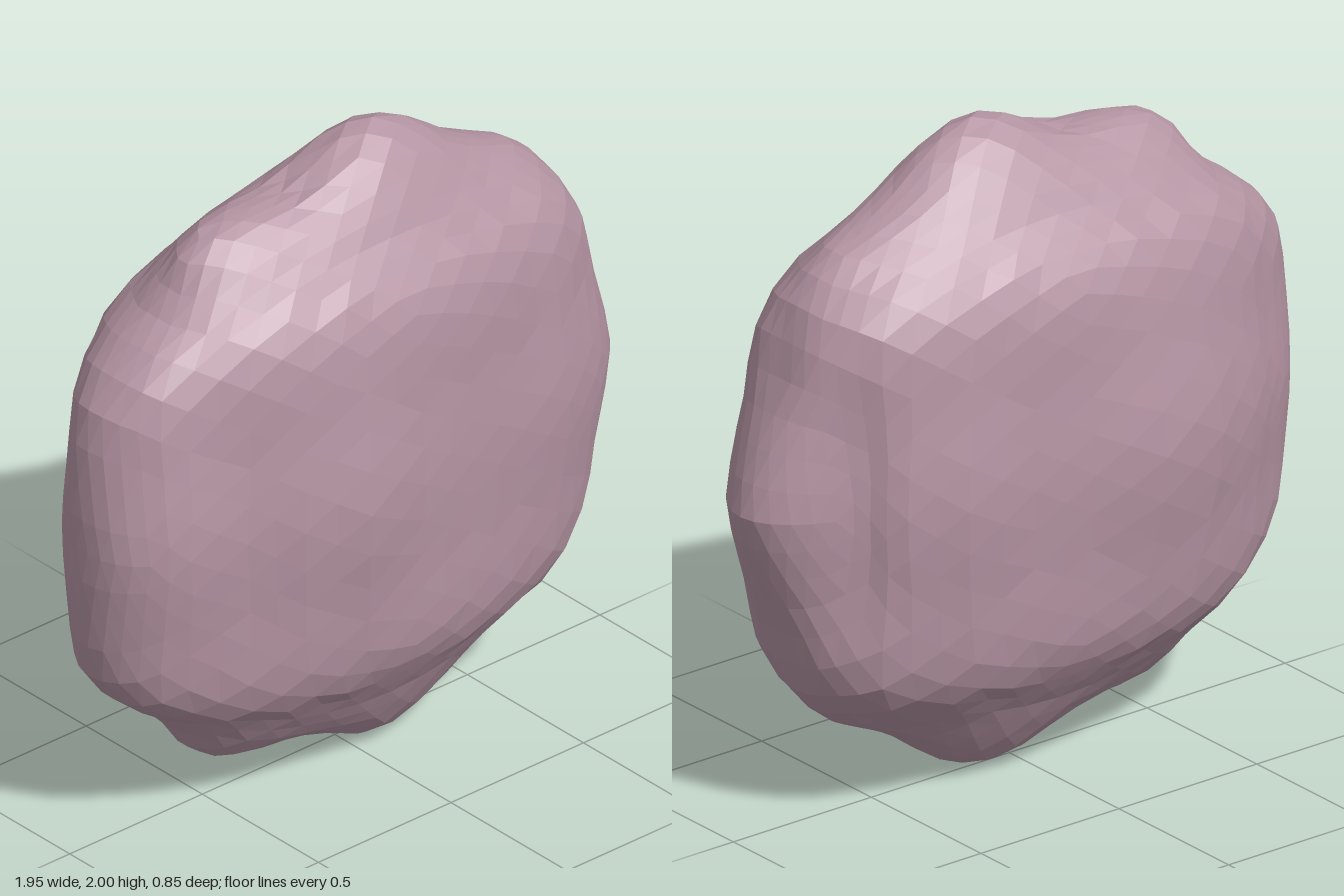
import * as THREE from 'three';

// Rim radius every 6 degrees from +x round to -x; the lower half mirrors the upper.
const RIM = [0.975, 0.955, 0.935, 0.92, 0.917, 0.938, 0.97, 0.98, 0.97, 0.945, 0.932,
  0.938, 0.97, 0.998, 1.01, 0.98, 0.932, 0.905, 0.925, 0.965, 0.995, 0.99, 0.96,
  0.957, 0.99, 1.017, 1.03, 1.01, 0.99, 0.98, 0.975];
// Swelling of the two broad faces along the middle, from -x to +x.
const FRONT = [0.06, 0.055, -0.02, 0.03, 0.09, -0.01, -0.035, -0.03, 0.01, 0.01, -0.01];
const BACK = [-0.025, -0.005, 0.045, 0.105, 0.115, 0.01, -0.015, 0.06, 0.02, -0.08, -0.04];
// Fullness of both faces from mid height out to the top and bottom.
const FULLNESS = [0.99, 0.985, 0.98, 0.985, 1.015, 1.04, 1.025, 0.975, 0.95, 0.95, 0.96];
const HALF_DEPTH = 0.4;

// Reads a table at t between 0 and 1 along a smooth curve.
function sample(table, t) {
  const s = t * (table.length - 1);
  const i = Math.min(table.length - 2, Math.floor(s));
  const f = s - i;
  return THREE.MathUtils.lerp(table[i], table[i + 1], f * f * (3 - 2 * f));
}

// Moves a point of the unit sphere onto the flattened, lumpy rock.
function shapeRock(p) {
  const { x, y, z } = p;
  const rim = sample(RIM, Math.abs(Math.atan2(y, x)) / Math.PI);
  // humps and hollows fade out above and below the middle
  const along = THREE.MathUtils.clamp((x + 1) / 2, 0, 1);
  const swelling = sample(z > 0 ? FRONT : BACK, along) * Math.exp(-y * y / (0.1 + 0.4 * x * x));
  const face = sample(FULLNESS, Math.min(1, Math.abs(y))) + swelling;
  const r = THREE.MathUtils.lerp(rim, face, THREE.MathUtils.smoothstep(Math.abs(z), 0, 0.65));
  // top and bottom edges lean slightly forward
  p.set(x * r, y * r, z * r * HALF_DEPTH + 0.02 * y ** 4);
}

export function createModel() {
  const group = new THREE.Group();
  group.name = 'asteroid';

  const stone = new THREE.MeshStandardMaterial({ color: 0xb595a3, flatShading: true });
  stone.name = 'dusty mauve stone';

  const geometry = new THREE.IcosahedronGeometry(1, 9);
  const position = geometry.attributes.position;
  const p = new THREE.Vector3();
  for (let i = 0; i < position.count; i++) {
    p.fromBufferAttribute(position, i);
    shapeRock(p);
    position.setXYZ(i, p.x, p.y + 1, p.z);
  }
  geometry.computeVertexNormals();

  const rock = new THREE.Mesh(geometry, stone);
  rock.name = 'rock';
  group.add(rock);
  return group;
}
